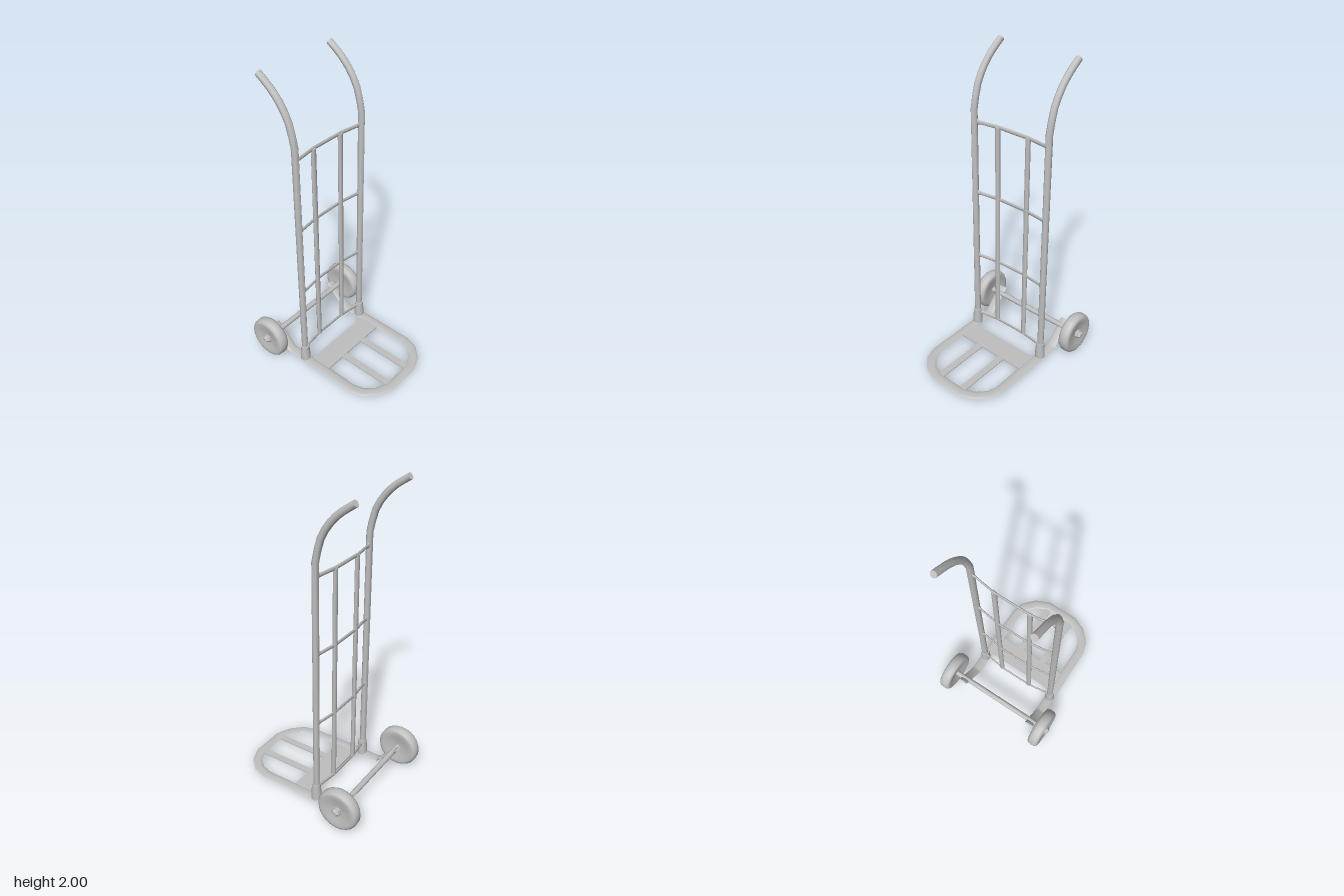
import * as THREE from 'three';
import { toCreasedNormals } from 'three/addons/utils/BufferGeometryUtils.js';

const V = (x, y, z) => new THREE.Vector3(x, y, z);
const metal = new THREE.MeshStandardMaterial({ color: 0xbfbfbf });
metal.name = 'grey metal';

// Sweeps an ellipse along a path: ru is the half width sideways, rv the other half width.
// The sideways direction is level, or the given one.
function sweep(path, ru, rv, sides = 10, fixedSide = null) {
  const pos = [], index = [], last = path.length - 1;
  path.forEach((p, i) => {
    const before = path[Math.max(i - 1, 0)], after = path[Math.min(i + 1, last)];
    const tIn = p.clone().sub(before).normalize(), tOut = after.clone().sub(p).normalize();
    const t = tIn.clone().add(tOut).normalize();
    const s = fixedSide ? fixedSide.clone() : t.clone().cross(V(0, 1, 0)).normalize();
    const n = t.clone().cross(s).normalize();
    for (let j = 0; j < sides; j++) {
      const a = (j / sides) * Math.PI * 2;
      const q = p.clone().addScaledVector(s, Math.cos(a) * ru).addScaledVector(n, Math.sin(a) * rv);
      pos.push(q.x, q.y, q.z);
    }
  });
  for (let j = 0; j < sides; j++) {
    const k = (j + 1) % sides;
    for (let i = 0; i < last; i++) {
      const a = i * sides + j, b = i * sides + k;
      index.push(a, b, a + sides, b, b + sides, a + sides);
    }
    if (j > 0 && j < sides - 1) {
      const e = last * sides;
      index.push(0, k, j, e, e + j, e + k);
    }
  }
  const g = new THREE.BufferGeometry();
  g.setAttribute('position', new THREE.Float32BufferAttribute(pos, 3));
  g.setIndex(index);
  return toCreasedNormals(g, 1.0);
}

export function createModel() {
  const model = new THREE.Group();
  model.name = 'handTruck';
  const add = (name, geometry, x = 0, y = 0, z = 0) => {
    const mesh = new THREE.Mesh(geometry, metal);
    mesh.name = name;
    mesh.position.set(x, y, z);
    model.add(mesh);
    return mesh;
  };
  const mid = -0.011, half = 0.274;   // centre line and half spacing of the frame
  const axleY = 0.138, axleZ = -0.354;

  // Flat toe loop, with legs that run back and rise to the axle
  const side = [[0.172, -0.39], [0.138, -0.354], [0.034, -0.25], [0.029, -0.23], [0.029, -0.09], [0.029, 0.28]]
    .map(([y, z]) => [half, y, z]);
  side.push([0.252, 0.029, 0.355], [0.19, 0.029, 0.42], [0.105, 0.029, 0.457]);
  const loop = [
    ...side.map(([x, y, z]) => V(mid - x, y, z)),
    ...side.slice().reverse().map(([x, y, z]) => V(mid + x, y, z)),
  ];
  add('toeLoop', sweep(loop, 0.031, 0.007, 12));

  // Toe plate and its two ribs
  add('toePlate', new THREE.BoxGeometry(0.5, 0.008, 0.14), mid, 0.03, -0.005);
  for (const x of [-0.104, 0.082]) {
    add('toeRib', new THREE.BoxGeometry(0.046, 0.007, 0.375), x, 0.029, 0.2475);
  }

  // Uprights with curved handles, and their tapered sockets
  const bend = new THREE.CatmullRomCurve3([
    V(0, 1.62, -0.121), V(0, 1.76, -0.155), V(0, 1.86, -0.215), V(0, 1.925, -0.28), V(0, 1.982, -0.36),
  ]).getPoints(8);
  const upright = sweep([V(0, 0.03, -0.121), ...bend], 0.02, 0.021, 10, V(1, 0, 0));
  const socket = new THREE.LatheGeometry(
    [[0, 0], [0.033, 0], [0.031, 0.055], [0.026, 0.11], [0, 0.112]].map(([r, y]) => new THREE.Vector2(r, y)), 12);
  for (const s of [-1, 1]) {
    add('upright', upright, mid + s * half);
    add('socket', toCreasedNormals(socket, 0.7), mid + s * half, 0.031, -0.119);
  }

  // Flat cross bars bowed to the back, with flared ends
  for (const y of [0.118, 0.597, 1.067, 1.543]) {
    const bar = [[-0.27, -0.124], [-0.122, -0.145], [0.102, -0.145], [0.25, -0.124]].map(([x, z]) => V(x, y, z));
    add('crossBar', sweep(bar, 0.005, 0.013, 8));
    for (const s of [-1, 1]) {
      const collar = new THREE.CylinderGeometry(0.012, 0.019, 0.025, 8).rotateZ(s * Math.PI / 2);
      add('barCollar', toCreasedNormals(collar.scale(1, 1, 0.4), 0.9), mid + s * 0.247, y, -0.126);
    }
  }

  // Slim vertical bars
  for (const x of [-0.122, 0.102]) {
    add('verticalBar', sweep([V(x, 0.118, -0.142), V(x, 1.543, -0.142)], 0.017, 0.013, 8, V(1, 0, 0)));
  }

  // Axle
  add('axle', new THREE.CylinderGeometry(0.018, 0.018, 0.82, 10).rotateZ(Math.PI / 2), 0, axleY, axleZ);

  // Wheels with chamfered tread and shallow dished sides, plus hub nuts
  const wheelProfile = [
    [0.02, -0.024], [0.05, -0.026], [0.085, -0.034], [0.112, -0.038], [0.126, -0.034], [0.136, -0.02],
    [0.137, 0], [0.136, 0.02], [0.126, 0.034], [0.112, 0.038], [0.085, 0.034], [0.05, 0.026], [0.02, 0.024],
  ].map(([r, y]) => new THREE.Vector2(r, y));
  const wheel = new THREE.LatheGeometry(wheelProfile, 24).rotateZ(Math.PI / 2);
  const hub = toCreasedNormals(new THREE.CylinderGeometry(0.03, 0.03, 0.02, 8).rotateZ(Math.PI / 2), 0.6);
  const nut = toCreasedNormals(new THREE.CylinderGeometry(0.016, 0.027, 0.018, 6).rotateZ(-Math.PI / 2), 0.6);
  for (const s of [-1, 1]) {
    add('wheel', wheel, s * 0.366 - 0.002, axleY, axleZ);
    add('hub', hub, s * 0.396, axleY, axleZ);
    add('hubNut', nut, s * 0.413, axleY, axleZ).rotation.y = s < 0 ? Math.PI : 0;
  }
  return model;
}
